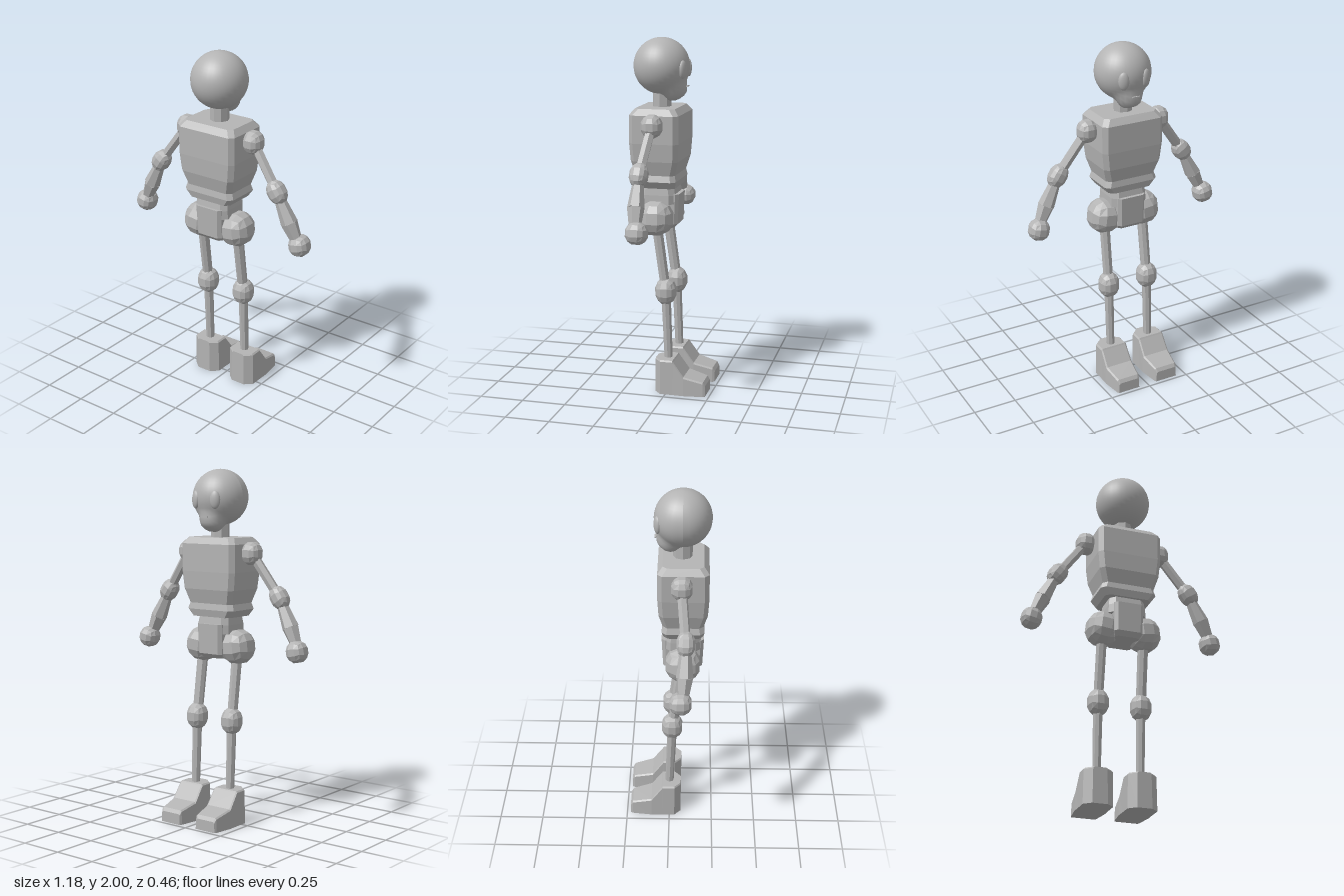
import * as THREE from 'three';

const V = (x, y, z) => new THREE.Vector3(x, y, z);

export function createModel() {
  const model = new THREE.Group();
  const grey = new THREE.MeshStandardMaterial({ color: 0xb4b4b4 });
  grey.name = 'grey';

  const add = (name, geometry, parent = model) => {
    const mesh = new THREE.Mesh(geometry, grey);
    mesh.name = name;
    parent.add(mesh);
    return mesh;
  };

  // Faceted normals
  const facet = (geometry) => {
    const g = geometry.index ? geometry.toNonIndexed() : geometry;
    g.computeVertexNormals();
    return g;
  };

  // Closed faceted skin through rings of equal length, counterclockwise about the loft axis
  const loft = (rings) => {
    const p = [];
    const tri = (...pts) => pts.forEach((v) => p.push(v.x, v.y, v.z));
    const n = rings[0].length;
    for (let i = 0; i + 1 < rings.length; i++) {
      for (let j = 0; j < n; j++) {
        const k = (j + 1) % n;
        tri(rings[i][j], rings[i][k], rings[i + 1][k]);
        tri(rings[i][j], rings[i + 1][k], rings[i + 1][j]);
      }
    }
    const first = rings[0], last = rings[rings.length - 1];
    for (let j = 1; j + 1 < n; j++) {
      tri(first[0], first[j + 1], first[j]);
      tri(last[0], last[j], last[j + 1]);
    }
    const g = new THREE.BufferGeometry();
    g.setAttribute('position', new THREE.Float32BufferAttribute(p, 3));
    g.computeVertexNormals();
    return g;
  };

  // Horizontal rectangle with cut corners
  const cutRect = (y, hx, hz, cz, c) => [
    [hx, hz - c], [hx, c - hz], [hx - c, -hz], [c - hx, -hz],
    [-hx, c - hz], [-hx, hz - c], [c - hx, hz], [hx - c, hz],
  ].map(([x, z]) => V(x, y, cz + z));

  // Straight limb from a to b
  const rod = (name, a, b, ra, rb, sides, parent) => {
    const mesh = add(name, facet(new THREE.CylinderGeometry(rb, ra, a.distanceTo(b), sides)), parent);
    mesh.position.copy(a).lerp(b, 0.5);
    mesh.quaternion.setFromUnitVectors(V(0, 1, 0), b.clone().sub(a).normalize());
    return mesh;
  };

  // Blocky ball joint: a divided cube pushed out to an ellipsoid
  const joint = (name, center, rx, ry, rz, tilt, parent) => {
    const g = new THREE.BoxGeometry(2, 2, 2, 3, 3, 3);
    const pos = g.attributes.position;
    const v = V(0, 0, 0);
    for (let i = 0; i < pos.count; i++) {
      v.fromBufferAttribute(pos, i).normalize();
      pos.setXYZ(i, v.x * rx * 1.04, v.y * ry * 1.04, v.z * rz * 1.04);
    }
    const mesh = add(name, facet(g), parent);
    mesh.position.copy(center);
    mesh.rotation.z = tilt;
    return mesh;
  };

  // Head: smooth ball with the chin drawn down and forward (face towards -z)
  const headGeo = new THREE.SphereGeometry(0.157, 32, 24);
  const chin = V(0, -0.87, -0.5).normalize();
  const hp = headGeo.attributes.position;
  for (let i = 0; i < hp.count; i++) {
    const v = V(0, 0, 0).fromBufferAttribute(hp, i);
    const s = 1 + 0.32 * Math.exp(-Math.pow(v.angleTo(chin) / 0.42, 4));
    hp.setXYZ(i, v.x * s, v.y * s, v.z * s);
  }
  headGeo.computeVertexNormals();
  add('head', headGeo).position.set(0, 1.843, 0.071);

  for (const s of [1, -1]) {
    const eye = add('eye', new THREE.SphereGeometry(1, 16, 12));
    eye.scale.set(0.03, 0.05, 0.017);
    eye.position.set(s * 0.068, 1.83, -0.066);
    eye.rotation.y = s * -0.4;
  }
  add('mouth', new THREE.BoxGeometry(0.045, 0.006, 0.009)).position.set(0, 1.735, -0.077);
  rod('neck', V(0, 1.6, 0.07), V(0, 1.72, 0.07), 0.053, 0.053, 8);

  // Torso: height, half width, half depth
  add('torso', loft([
    [1.175, 0.135, 0.108], [1.215, 0.163, 0.118], [1.25, 0.152, 0.112], [1.33, 0.176, 0.134],
    [1.43, 0.187, 0.14], [1.585, 0.187, 0.14], [1.62, 0.16, 0.112],
  ].map(([y, hx, hz]) => cutRect(y, hx, hz, 0.075, 0.025))));

  // Waist and pelvis
  add('waist', loft([
    cutRect(1.08, 0.11, 0.1, 0.075, 0.03), cutRect(1.13, 0.108, 0.1, 0.075, 0.03),
    cutRect(1.19, 0.1, 0.09, 0.075, 0.03),
  ]));
  add('pelvis', loft([
    cutRect(0.94, 0.07, 0.085, 0.073, 0.015), cutRect(0.965, 0.083, 0.11, 0.073, 0.018),
    cutRect(1.135, 0.086, 0.118, 0.073, 0.018),
  ]));

  // Foot cross-sections from toe to heel: z, half width, height
  const footGeo = loft([
    [-0.228, 0.064, 0.062], [-0.215, 0.07, 0.082], [-0.105, 0.084, 0.11], [-0.045, 0.082, 0.192],
    [-0.04, 0.082, 0.2], [0.03, 0.082, 0.2], [0.067, 0.04, 0.2],
  ].map(([z, w, h]) => [
    V(w + 0.003, 0, z), V(w, h - 0.008, z), V(w - 0.008, h, z),
    V(0.008 - w, h, z), V(-w, h - 0.008, z), V(-w - 0.003, 0, z),
  ]));

  for (const s of [1, -1]) {
    // Arm
    const arm = new THREE.Group();
    arm.name = s > 0 ? 'leftArm' : 'rightArm';
    model.add(arm);
    const shoulder = V(s * 0.224, 1.535, 0.068);
    const elbow = V(s * 0.395, 1.297, 0.092);
    const wrist = V(s * 0.505, 1.075, 0.085);
    joint('shoulder', shoulder, 0.058, 0.066, 0.06, 0, arm);
    rod('upperArm', shoulder, elbow, 0.028, 0.028, 6, arm);
    joint('elbow', elbow, 0.053, 0.07, 0.052, s * 0.6, arm);
    const bulge = elbow.clone().lerp(wrist, 0.72);
    rod('forearm', elbow.clone().lerp(wrist, 0.15), bulge, 0.03, 0.047, 6, arm);
    rod('wrist', bulge, wrist.clone().lerp(V(s * 0.53, 1.01, 0.07), 0.3), 0.047, 0.034, 6, arm);
    joint('hand', V(s * 0.531, 1.012, 0.067), 0.06, 0.062, 0.062, s * 0.2, arm);

    // Leg
    const leg = new THREE.Group();
    leg.name = s > 0 ? 'leftLeg' : 'rightLeg';
    model.add(leg);
    const hip = V(s * 0.122, 1.005, 0.074);
    const knee = V(s * 0.125, 0.587, 0.016);
    joint('hip', hip, 0.096, 0.1, 0.1, s * 0.12, leg);
    rod('thigh', hip, knee, 0.031, 0.029, 8, leg);
    joint('knee', knee, 0.061, 0.077, 0.061, 0, leg);
    rod('shin', knee, V(s * 0.125, 0.18, 0), 0.028, 0.024, 8, leg);
    add('foot', footGeo, leg).position.x = s * 0.125;
  }
  return model;
}
